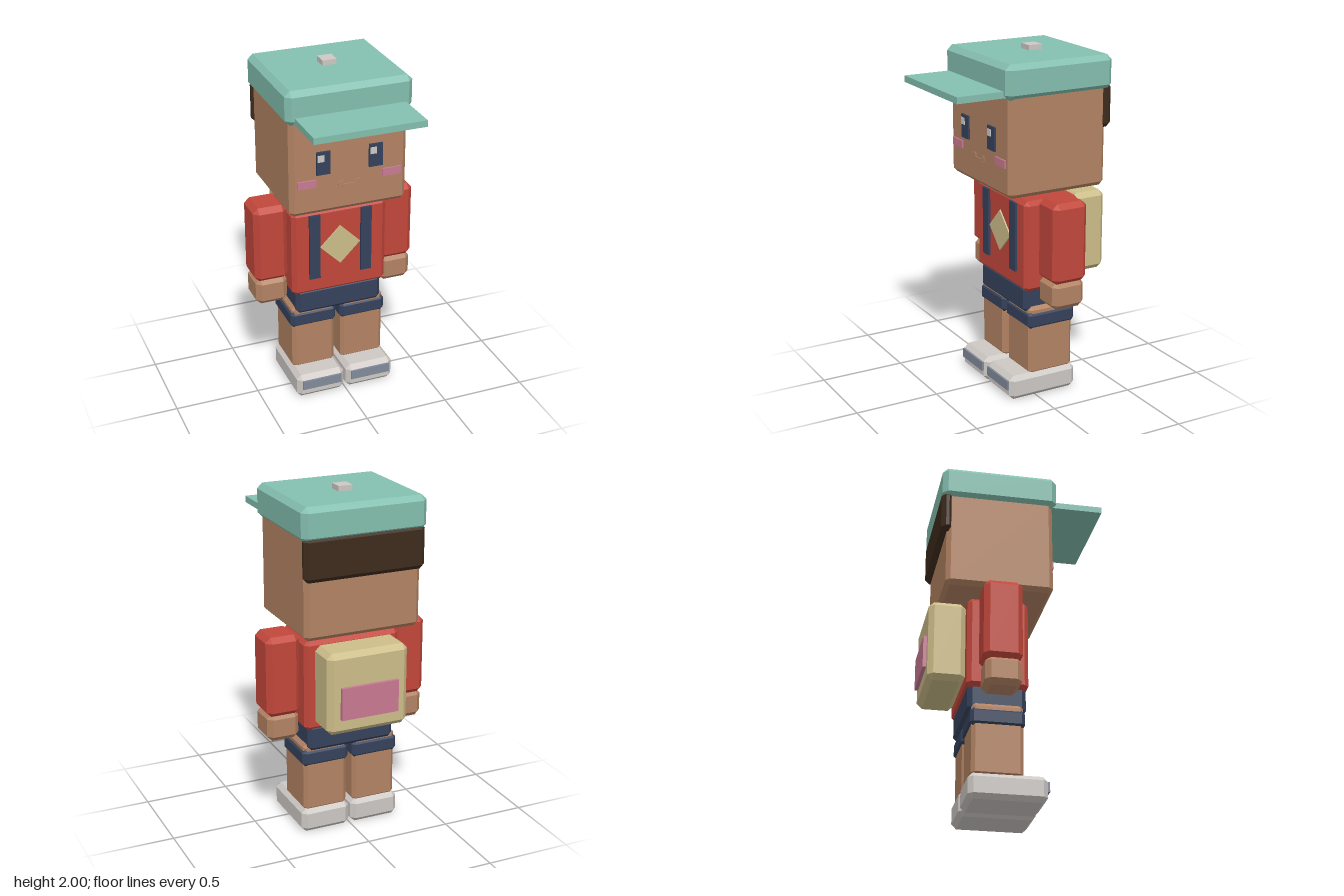
import * as THREE from 'three';
import { ConvexGeometry } from 'three/addons/geometries/ConvexGeometry.js';

const material = (name, color) => {
  const m = new THREE.MeshStandardMaterial({ color });
  m.name = name;
  return m;
};

// Box given by its extents, with every edge cut by one flat chamfer
function chamferBox([x0, x1], [y0, y1], [z0, z1], c) {
  const points = [];
  const half = [(x1 - x0) / 2, (y1 - y0) / 2, (z1 - z0) / 2];
  for (const sx of [-1, 1]) for (const sy of [-1, 1]) for (const sz of [-1, 1]) {
    for (let axis = 0; axis < 3; axis++) {
      const p = half.map((h, i) => (i === axis ? h : h - c));
      points.push(new THREE.Vector3(sx * p[0], sy * p[1], sz * p[2]));
    }
  }
  return new ConvexGeometry(points).translate((x0 + x1) / 2, (y0 + y1) / 2, (z0 + z1) / 2);
}

function plainBox([x0, x1], [y0, y1], [z0, z1]) {
  return new THREE.BoxGeometry(x1 - x0, y1 - y0, z1 - z0)
    .translate((x0 + x1) / 2, (y0 + y1) / 2, (z0 + z1) / 2);
}

export function createModel() {
  const model = new THREE.Group();
  model.name = 'blockyFigure';

  const skin = material('skin', 0xb38363);
  const red = material('red shirt', 0xc2473b);
  const navy = material('navy', 0x35425c);
  const mint = material('mint cap', 0x84bfaf);
  const brown = material('dark brown hair', 0x3d2b1c);
  const cream = material('cream', 0xcdbd8a);
  const pink = material('pink', 0xc97a93);
  const pale = material('pale grey', 0xcdc8c4);
  const slate = material('slate', 0x828a9b);

  const add = (name, mat, x, y, z, chamfer = 0) => {
    const mesh = new THREE.Mesh(chamfer ? chamferBox(x, y, z, chamfer) : plainBox(x, y, z), mat);
    mesh.name = name;
    model.add(mesh);
    return mesh;
  };
  const span = (w) => [-w, w];

  // Head, hair and neck
  add('head', skin, span(0.345), [1.225, 1.82], [-0.41, 0.205], 0.025);
  add('backHair', brown, span(0.356), [1.56, 1.81], [-0.443, -0.375], 0.025);
  add('neck', skin, span(0.12), [1.15, 1.25], [-0.215, 0.015]);

  // Cap
  add('capCrown', mint, span(0.367), [1.775, 1.97], [-0.44, 0.228], 0.03);
  add('capBrim', mint, span(0.32), [1.788, 1.825], [0.19, 0.505]);
  add('capButton', pale, span(0.042), [1.96, 2.0], [-0.172, -0.087]);

  // Mouth
  add('mouthMiddle', skin, span(0.04), [1.367, 1.385], [0.2, 0.211]);

  // Torso and hips
  add('torso', red, span(0.288), [0.64, 1.175], [-0.275, 0.07], 0.025);
  add('hips', navy, span(0.265), [0.505, 0.67], [-0.265, 0.06], 0.025);

  // Diamond chest badge
  const badge = new THREE.Mesh(new THREE.BoxGeometry(0.172, 0.172, 0.009), cream);
  badge.name = 'chestBadge';
  badge.position.set(0, 0.937, 0.0735);
  badge.rotation.z = Math.PI / 4;
  model.add(badge);

  // Backpack
  add('backpack', cream, span(0.243), [0.685, 1.16], [-0.485, -0.275], 0.03);
  add('backpackPocket', pink, span(0.172), [0.78, 0.967], [-0.505, -0.48]);

  // Paired parts
  for (const side of [-1, 1]) {
    const label = side > 0 ? 'left' : 'right';
    const pair = (name, mat, inner, outer, y, z, chamfer) =>
      add(label + name, mat, side > 0 ? [inner, outer] : [-outer, -inner], y, z, chamfer);

    pair('Eye', navy, 0.114, 0.194, [1.465, 1.6], [0.2, 0.217]);
    pair('Cheek', pink, 0.195, 0.305, [1.395, 1.44], [0.2, 0.215]);
    pair('MouthCorner', skin, 0.036, 0.062, [1.378, 1.406], [0.2, 0.211]);
    // both eye glints sit towards the model's right
    const glint = side * 0.154 - 0.016;
    add(label + 'EyeGlint', pale, [glint - 0.019, glint + 0.019], [1.543, 1.582], [0.212, 0.221]);

    pair('Strap', navy, 0.125, 0.19, [0.745, 1.15], [0.065, 0.085]);
    pair('Sleeve', red, 0.287, 0.487, [0.73, 1.2], [-0.215, 0], 0.03);
    pair('Hand', skin, 0.292, 0.482, [0.58, 0.745], [-0.205, -0.003], 0.03);

    pair('Leg', skin, 0.02, 0.285, [0.13, 0.545], [-0.245, 0.04], 0.02);
    pair('ShortsCuff', navy, 0.013, 0.295, [0.412, 0.515], [-0.255, 0.048], 0.02);
    pair('Shoe', pale, 0.007, 0.302, [0, 0.145], [-0.262, 0.17], 0.027);
    pair('ShoeStripe', slate, 0.032, 0.275, [0.062, 0.118], [0.16, 0.182]);
  }

  return model;
}
